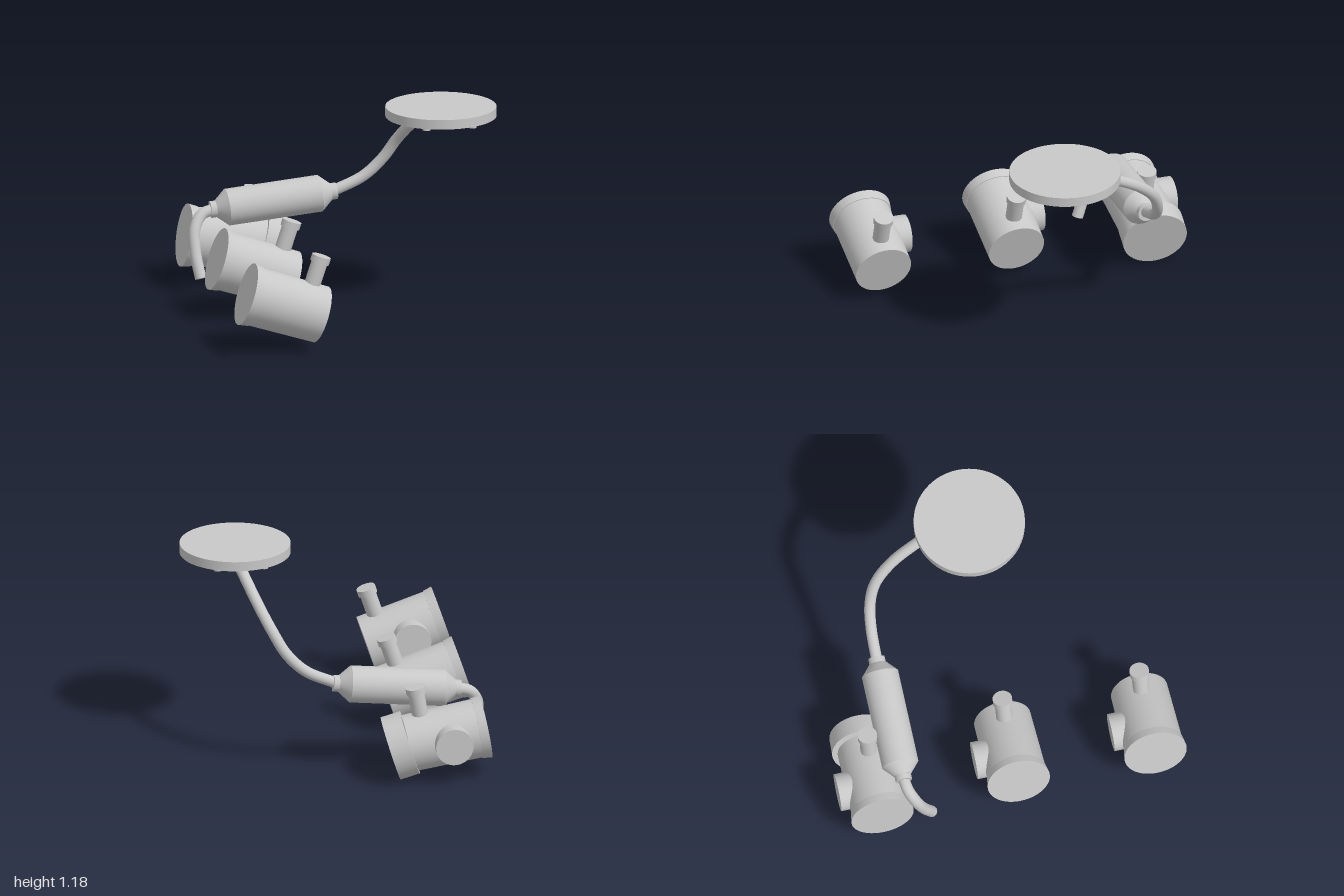
import * as THREE from 'three';

const grey = new THREE.MeshStandardMaterial({ color: 0xc8c8c8 });
grey.name = 'plain grey';

const deg = THREE.MathUtils.degToRad;

// Cylinder or cone between two points on a local axis: r0 at the start, r1 at the end
function rod(name, axis, start, end, r0, r1, offset = [0, 0, 0], sides = 48) {
  const geo = new THREE.CylinderGeometry(r1, r0, end - start, sides);
  geo.translate(0, (start + end) / 2, 0);
  if (axis === 'x') geo.rotateZ(-Math.PI / 2);
  if (axis === 'z') geo.rotateX(-Math.PI / 2).scale(1, 1, 1);
  const mesh = new THREE.Mesh(geo, grey);
  mesh.name = name;
  mesh.position.set(...offset);
  return mesh;
}

// Bent pipe with closed ends
function pipe(name, points, radius) {
  const group = new THREE.Group();
  group.name = name;
  const curve = new THREE.CatmullRomCurve3(points.map((p) => new THREE.Vector3(...p)));
  const tube = new THREE.Mesh(new THREE.TubeGeometry(curve, 48, radius, 24), grey);
  tube.name = name + 'Tube';
  group.add(tube);
  for (const t of [0, 1]) {
    const cap = new THREE.Mesh(new THREE.CircleGeometry(radius, 24), grey);
    const out = curve.getTangent(t).multiplyScalar(t ? 1 : -1);
    cap.name = name + 'End';
    cap.position.copy(curve.getPoint(t));
    cap.quaternion.setFromUnitVectors(new THREE.Vector3(0, 0, 1), out);
    group.add(cap);
  }
  return group;
}

// Tilted canister: flared lip, barrel, top spout with cap, round plug on the back
function canister(x, y, z, tilt) {
  const group = new THREE.Group();
  group.name = 'canister';
  group.add(
    rod('lip', 'x', 0, 0.053, 0.182, 0.174),
    rod('barrel', 'x', 0.05, 0.461, 0.17, 0.165),
    rod('spout', 'y', 0.12, 0.295, 0.047, 0.047, [0.355, 0, 0], 32),
    rod('spoutCap', 'y', 0.29, 0.33, 0.056, 0.056, [0.355, 0, 0], 32),
    rod('sidePlug', 'z', 0.1, 0.218, 0.108, 0.108, [0.211, 0, 0])
  );
  group.position.set(x, y, z);
  group.rotation.z = -deg(tilt);
  return group;
}

export function createModel() {
  const model = new THREE.Group();
  model.name = 'exhaustAssembly';

  // Round flange with six bolts underneath
  const flange = new THREE.Group();
  flange.name = 'flange';
  flange.position.set(0.525, 0, 0.015);
  flange.add(rod('flangeDisc', 'y', 1.131, 1.187, 0.318, 0.318, [0, 0, 0], 64));
  for (let i = 0; i < 6; i++) {
    const a = (i * Math.PI) / 3;
    flange.add(rod('bolt', 'y', 1.112, 1.135, 0.022, 0.022,
      [0.27 * Math.cos(a), 0, 0.27 * Math.sin(a)], 20));
  }
  model.add(flange);

  // Pipe from the flange down to the muffler
  model.add(pipe('downPipe', [
    [0.525, 1.11, -0.215], [0.455, 0.968, -0.45], [0.392, 0.85, -0.563],
    [0.32, 0.73, -0.61], [0.21, 0.625, -0.628], [0.03, 0.543, -0.632],
  ], 0.032));

  // Muffler with coned ends and collars
  const muffler = new THREE.Group();
  muffler.name = 'muffler';
  muffler.add(
    rod('mufflerBody', 'x', -0.272, 0.272, 0.106, 0.106),
    rod('leftCone', 'x', 0.272, 0.336, 0.106, 0.05),
    rod('rightCone', 'x', -0.336, -0.272, 0.05, 0.106),
    rod('leftCollar', 'x', 0.33, 0.37, 0.048, 0.048),
    rod('rightCollar', 'x', -0.37, -0.33, 0.048, 0.048)
  );
  muffler.position.set(-0.315, 0.509, -0.631);
  muffler.rotation.z = deg(5.5);
  model.add(muffler);

  // Tail pipe curling down from the muffler
  model.add(pipe('tailPipe', [
    [-0.665, 0.475, -0.631], [-0.735, 0.452, -0.619], [-0.785, 0.375, -0.583],
    [-0.79, 0.25, -0.54], [-0.77, 0.108, -0.487],
  ], 0.033));

  // Row of canisters, the rear one tilted less
  model.add(canister(-0.786, 0.357, 0.818, 18.3));
  model.add(canister(-0.786, 0.357, 0.018, 18.3));
  model.add(canister(-0.804, 0.291, -0.782, 10));

  // Wide sleeve on the end of the rear canister
  const sleeve = rod('endSleeve', 'x', -0.115, 0, 0.187, 0.187);
  sleeve.position.set(-0.257, 0.187, -0.785);
  sleeve.rotation.set(0, -deg(4), -deg(17.5));
  model.add(sleeve);

  return model;
}
